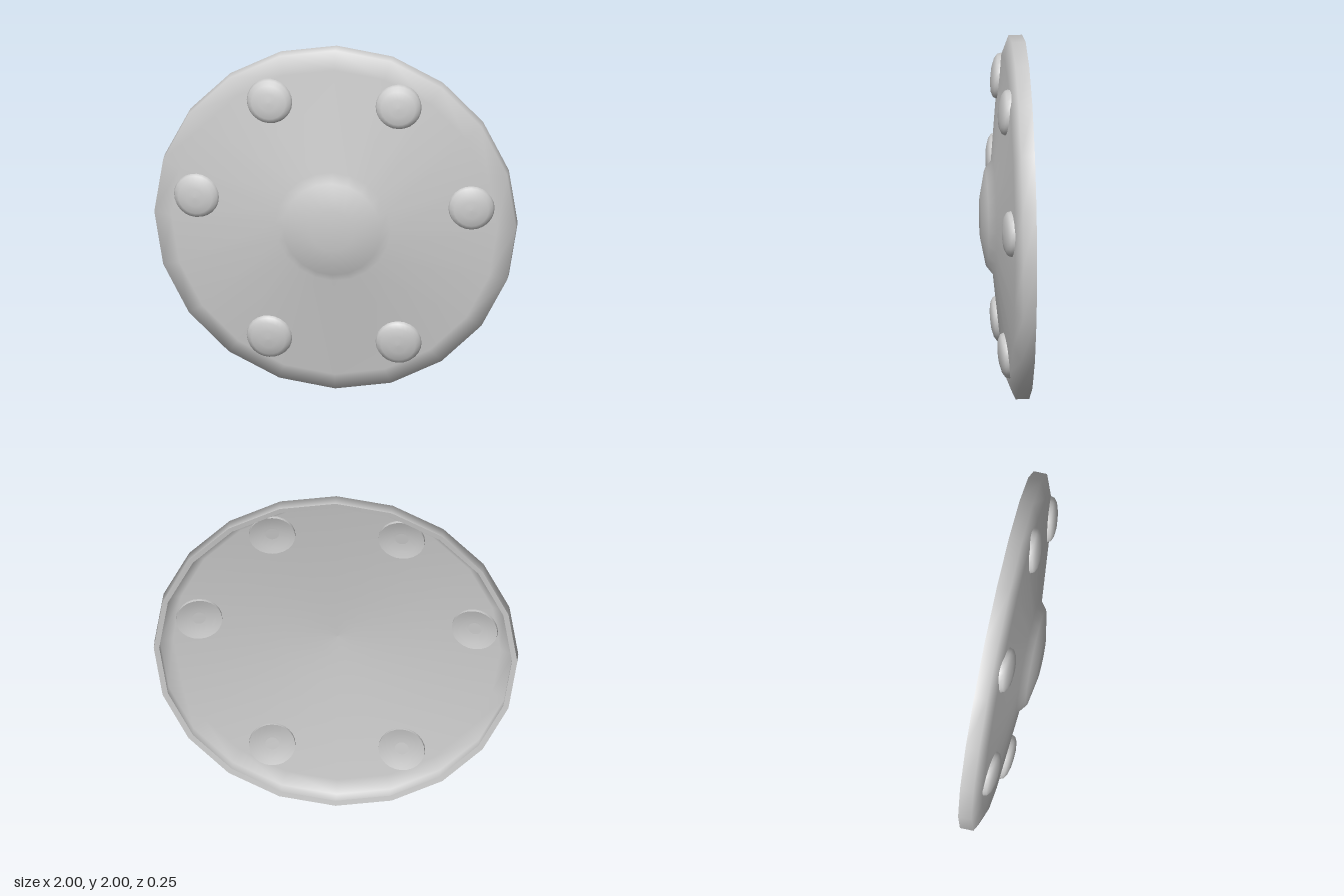
import * as THREE from 'three';

const material = new THREE.MeshStandardMaterial({ color: 0xcccccc });
const SIDES = 20;

// Turned part whose axis points to the front; profile is [radius, z] from back to front
function turned(name, profile, sides) {
  const points = profile.map(([r, z]) => new THREE.Vector2(r, z));
  const geometry = new THREE.LatheGeometry(points, sides).rotateX(Math.PI / 2);
  const mesh = new THREE.Mesh(geometry, material);
  mesh.name = name;
  return mesh;
}

export function createModel() {
  const model = new THREE.Group();
  model.name = 'roundShield';
  const shield = new THREE.Group();
  shield.name = 'shieldBody';
  shield.position.y = 1;
  model.add(shield);

  // Front face with raised central boss and outer rim wall
  shield.add(turned('frontFace', [
    [1, -0.125], [1, -0.05], [0.9, -0.01], [0.32, 0.055],
    [0.27, 0.095], [0.12, 0.125], [0, 0.125],
  ], SIDES));

  // Hollow back without the boss, and the flat lip of the rim
  shield.add(turned('hollowBack', [
    [0, 0.06], [0.3, 0.048], [0.9, -0.018], [0.97, -0.055], [0.97, -0.12],
  ], SIDES));
  shield.add(turned('rimLip', [[0.97, -0.12], [1, -0.125]], SIDES));

  // Domed studs, dished at the back, tilted to follow the face
  const studSpots = [[0.357, 0.705], [0.76, 0.128], [0.357, -0.685]];
  for (const side of [-1, 1]) {
    for (const [sx, y] of studSpots) {
      const x = side * sx;
      const r = Math.hypot(x, y);
      const stud = new THREE.Group();
      stud.name = 'stud';
      stud.add(turned('studDish', [
        [0, -0.007], [0.05, -0.01], [0.09, -0.016], [0.127, -0.026],
      ], 24));
      stud.add(turned('studDome', [
        [0.127, -0.026], [0.128, -0.005], [0.12, 0.018], [0.095, 0.033], [0.05, 0.042], [0, 0.044],
      ], 24));
      stud.position.set(x, y, -0.01 + (0.9 - r) * 0.112);
      const normal = new THREE.Vector3(0.112 * x / r, 0.112 * y / r, 1).normalize();
      stud.quaternion.setFromUnitVectors(new THREE.Vector3(0, 0, 1), normal);
      shield.add(stud);
    }
  }
  return model;
}
